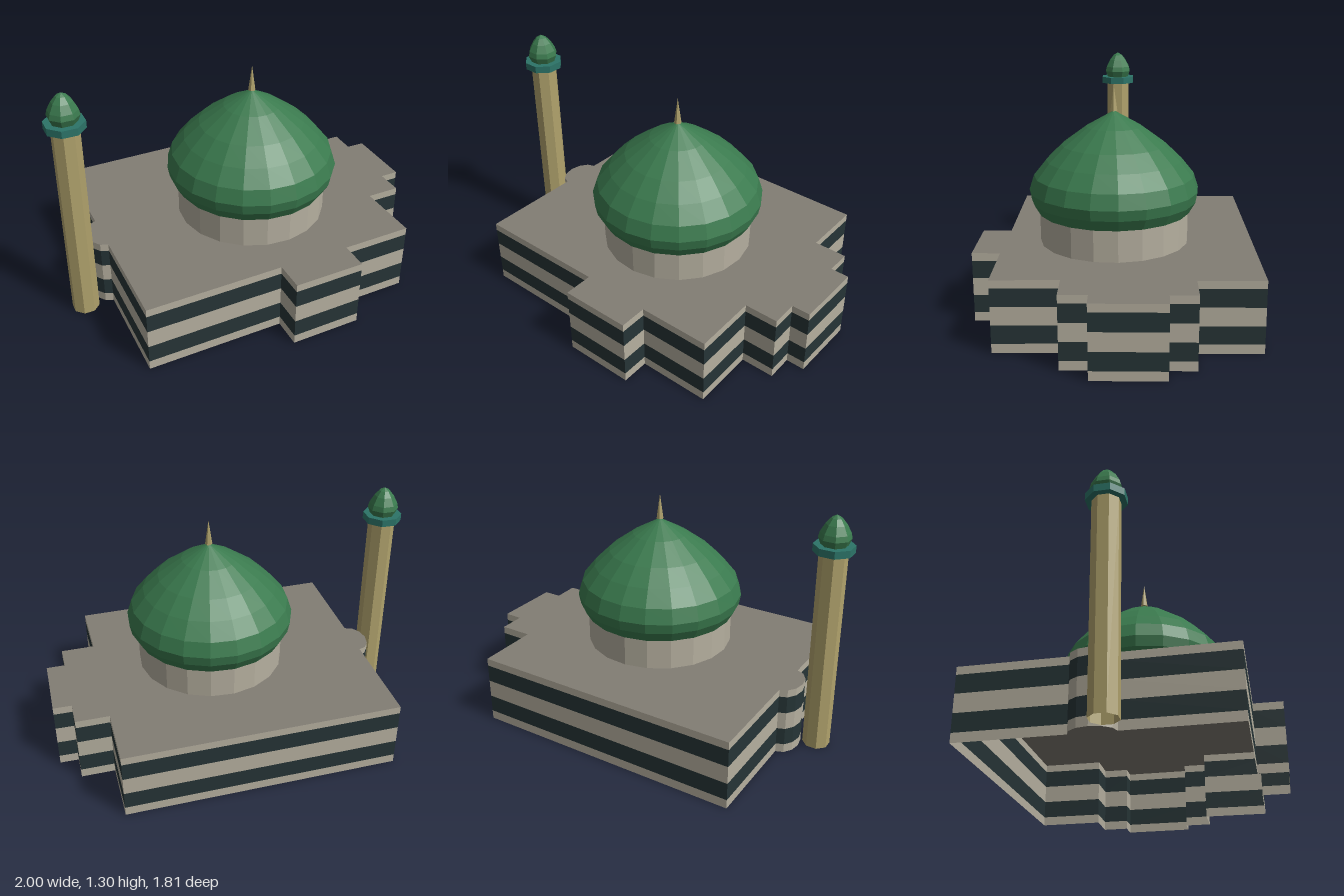
import * as THREE from 'three';

const material = (name, color, doubleSided = false) => {
  const m = new THREE.MeshStandardMaterial({ color, flatShading: true });
  m.name = name;
  if (doubleSided) m.side = THREE.DoubleSide;
  return m;
};

// Ground plan corners (x, z), running round from the back corner
const plan = [
  [-0.473, -0.912], [0.917, -0.348], [0.789, -0.032], [0.957, 0.037],
  [0.904, 0.166], [0.997, 0.206], [0.853, 0.551], [0.759, 0.513],
  [0.706, 0.647], [0.535, 0.578], [0.409, 0.901], [0.051, 0.759],
  [-0.005, 0.898], [-0.361, 0.757], [-0.302, 0.61], [-0.987, 0.337],
];

// Shallow rounded bay on the wall beside the tower
for (let i = 0; i <= 6; i++) {
  const a = (i / 6 - 0.5) * Math.PI;
  const along = 0.115 * Math.sin(a), out = 0.081 * Math.cos(a);
  plan.push([-0.727 + 0.38 * along - 0.925 * out, -0.294 - 0.925 * along - 0.38 * out]);
}

// Vertical strip of wall following the plan between two heights
function wallBand(y0, y1) {
  const p = [];
  plan.forEach(([ax, az], i) => {
    const [bx, bz] = plan[(i + 1) % plan.length];
    p.push(ax, y0, az, ax, y1, az, bx, y1, bz, ax, y0, az, bx, y1, bz, bx, y0, bz);
  });
  const g = new THREE.BufferGeometry();
  g.setAttribute('position', new THREE.Float32BufferAttribute(p, 3));
  g.computeVertexNormals();
  return g;
}

const lathe = (points, sides) =>
  new THREE.LatheGeometry(points.map(([r, y]) => new THREE.Vector2(r, y)), sides);

export function createModel() {
  const model = new THREE.Group();
  model.name = 'domedBuilding';

  const stone = material('pale stone', 0xb5af9f, true);
  const slate = material('dark stone', 0x263436, true);
  const roofGrey = material('roof grey', 0x827d74, true);
  const green = material('dome green', 0x3a7a4e, true);
  const teal = material('balcony teal', 0x2c7468);
  const sand = material('sandstone', 0xb0a26c, true);

  const add = (parent, name, geometry, mat, x = 0, y = 0, z = 0) => {
    const mesh = new THREE.Mesh(geometry, mat);
    mesh.name = name;
    mesh.position.set(x, y, z);
    parent.add(mesh);
  };

  // Striped walls, open underneath
  const hall = new THREE.Group();
  hall.name = 'hall';
  const heights = [0, 0.05, 0.147, 0.245, 0.342, 0.384];
  for (let i = 0; i < 5; i++) {
    add(hall, i % 2 ? 'darkWallBand' : 'paleWallBand',
      wallBand(heights[i], heights[i + 1]), i % 2 ? slate : stone);
  }

  // Flat roof
  const shape = new THREE.Shape(plan.map(([x, z]) => new THREE.Vector2(x, -z)));
  add(hall, 'roof', new THREE.ShapeGeometry(shape).rotateX(-Math.PI / 2), roofGrey, 0, 0.384, 0);
  model.add(hall);

  // Drum, main dome and spike
  const dome = new THREE.Group();
  dome.name = 'mainDome';
  dome.position.set(0.03, 0, 0.107);
  add(dome, 'drum', new THREE.CylinderGeometry(0.407, 0.407, 0.171, 20, 1, true), stone, 0, 0.4695, 0);
  add(dome, 'domeShell', lathe([
    [0.4, 0.555], [0.415, 0.555], [0.45, 0.615], [0.461, 0.672], [0.435, 0.752],
    [0.367, 0.836], [0.282, 0.918], [0.15, 1.015], [0, 1.1],
  ], 20), green);
  add(dome, 'spike', new THREE.ConeGeometry(0.02, 0.14, 6), sand, 0, 1.167, 0);
  model.add(dome);

  // Slender tower
  const tower = new THREE.Group();
  tower.name = 'tower';
  tower.position.set(-0.897, 0, -0.27);
  add(tower, 'towerShaft', new THREE.CylinderGeometry(0.073, 0.073, 1.115, 8, 1, true), sand, 0, 0.5575, 0);
  add(tower, 'balcony', new THREE.CylinderGeometry(0.105, 0.105, 0.039, 8), teal, 0, 1.132, 0);
  add(tower, 'towerDome', lathe([
    [0.068, 1.15], [0.083, 1.187], [0.076, 1.215], [0.053, 1.258], [0.028, 1.288], [0, 1.304],
  ], 8), green);
  model.add(tower);

  return model;
}
